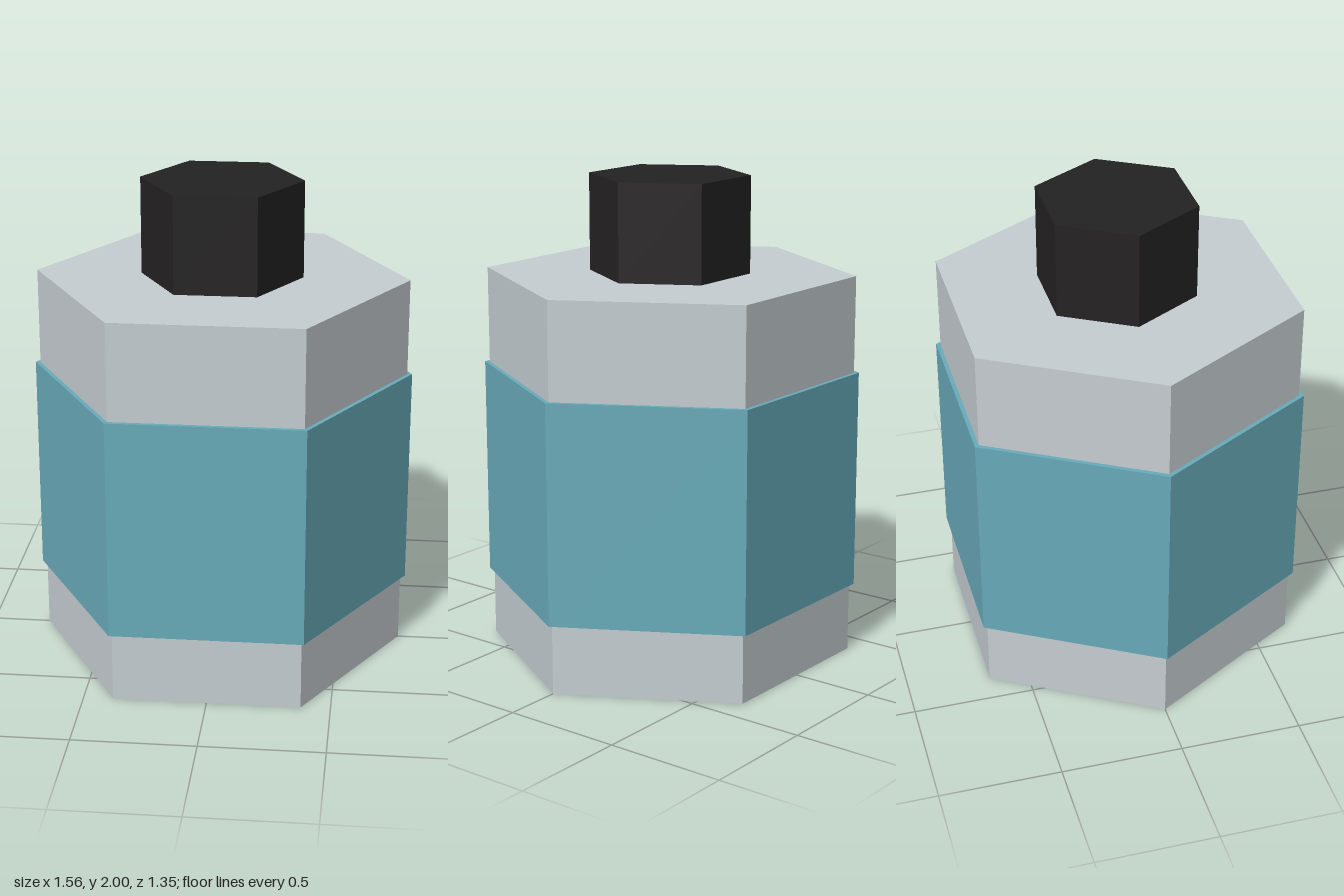
import * as THREE from 'three';

// Upright hexagonal prism with corners on the x axis
function hexPrism(name, radius, y0, y1, color) {
  const geometry = new THREE.CylinderGeometry(radius, radius, y1 - y0, 6, 1, false, Math.PI / 2);
  const material = new THREE.MeshStandardMaterial({ color, flatShading: true });
  const mesh = new THREE.Mesh(geometry, material);
  mesh.name = name;
  mesh.position.y = (y0 + y1) / 2;
  return mesh;
}

export function createModel() {
  const bottle = new THREE.Group();
  bottle.name = 'bottle';
  bottle.add(
    hexPrism('body', 0.76, 0, 1.6, 0xc6ced2),
    hexPrism('labelBand', 0.78, 0.29, 1.2, 0x68abba),
    hexPrism('cap', 0.33, 1.6, 2, 0x242223),
  );
  return bottle;
}
